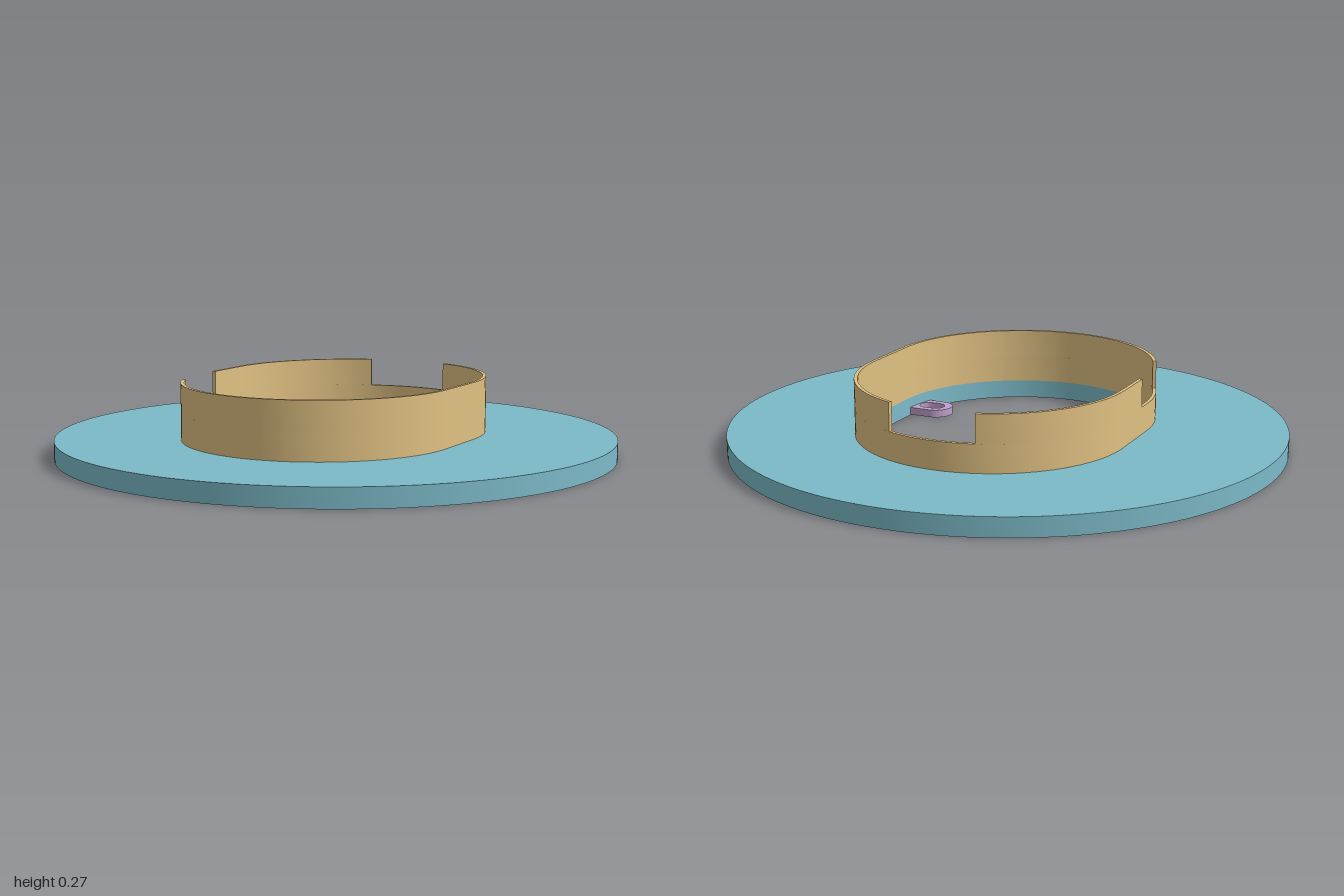
import * as THREE from 'three';
import { toCreasedNormals } from 'three/addons/utils/BufferGeometryUtils.js';

const HALF = 0.115; // half length of the straight sides
const OUTER = 0.489, INNER = 0.476;
const PLATE_H = 0.068, STEP_Y = 0.168, TOP_Y = 0.27;

// Point on the oval wall: angle in degrees, 90 = back, 270 = front
function arc(radius, from, to) {
  const pts = [], n = Math.max(2, Math.ceil(Math.abs(to - from) / 4));
  for (let i = 0; i <= n; i++) {
    const a = THREE.MathUtils.degToRad(from + (to - from) * i / n);
    const side = from + to > 0 && from + to < 360 ? HALF : -HALF;
    pts.push(new THREE.Vector2(radius * Math.cos(a), side + radius * Math.sin(a)));
  }
  return pts;
}
const oval = (r) => [...arc(r, 0, 180), ...arc(r, 180, 360)];

// Extrude a plan outline upward from y0 to y1
function prism(shape, y0, y1) {
  const g = new THREE.ExtrudeGeometry(shape, { depth: y1 - y0, bevelEnabled: false, curveSegments: 96 });
  g.rotateX(-Math.PI / 2).translate(0, y0, 0);
  return toCreasedNormals(g, 0.5);
}

export function createModel() {
  const model = new THREE.Group();
  const teal = new THREE.MeshStandardMaterial({ name: 'teal', color: 0x7cbac8 });
  const tan = new THREE.MeshStandardMaterial({ name: 'tan', color: 0xdfc082 });
  const purple = new THREE.MeshStandardMaterial({ name: 'purple', color: 0xc0a0cc });
  const add = (name, geometry, material, parent = model) => {
    const mesh = new THREE.Mesh(geometry, material);
    mesh.name = name;
    parent.add(mesh);
    return mesh;
  };

  // Round flange with an oval opening
  const disc = new THREE.Shape().absarc(0, 0, 1, 0, Math.PI * 2);
  disc.holes.push(new THREE.Path(oval(INNER)));
  add('flange', prism(disc, 0, PLATE_H), teal);

  // Collar: a closed lower band and two upper bands that leave the notches
  const collar = new THREE.Group();
  collar.name = 'collar';
  model.add(collar);
  const ring = new THREE.Shape(oval(OUTER));
  ring.holes.push(new THREE.Path(oval(INNER)));
  add('collarLower', prism(ring, PLATE_H, STEP_Y), tan, collar);

  const shortRun = (r) => [...arc(r, 109, 180), new THREE.Vector2(-r, -0.06)];
  const longRun = (r) => [...arc(r, -155, 0), ...arc(r, 0, 71)];
  for (const [name, run] of [['collarUpperShort', shortRun], ['collarUpperLong', longRun]]) {
    const band = new THREE.Shape([...run(OUTER), ...run(INNER).reverse()]);
    add(name, prism(band, STEP_Y, TOP_Y), tan, collar);
  }

  // Slotted lugs on opposite inner walls
  const lug = new THREE.Shape();
  const r = 0.062;
  lug.moveTo(0.484, -r);
  lug.lineTo(0.484, r);
  lug.lineTo(0.335 + r, r);
  lug.absarc(0.335 + r, 0, r, Math.PI / 2, Math.PI * 1.5, false);
  const slot = new THREE.Path();
  slot.absarc(0.398, 0, 0.033, Math.PI / 2, Math.PI * 1.5, false);
  slot.absarc(0.43, 0, 0.033, -Math.PI / 2, Math.PI / 2, false);
  lug.holes.push(slot);
  const lugGeometry = prism(lug, 0.002, 0.03).translate(0, 0, 0.193);
  add('leftLug', lugGeometry, purple);
  add('rightLug', lugGeometry, purple).rotation.y = Math.PI;

  // Small flush pad on the opening wall below the side notch
  const pad = add('wallPad', new THREE.BoxGeometry(0.006, 0.04, 0.035), purple);
  pad.position.set(-0.43, 0.04, 0.315);
  pad.rotation.y = THREE.MathUtils.degToRad(25);
  return model;
}
